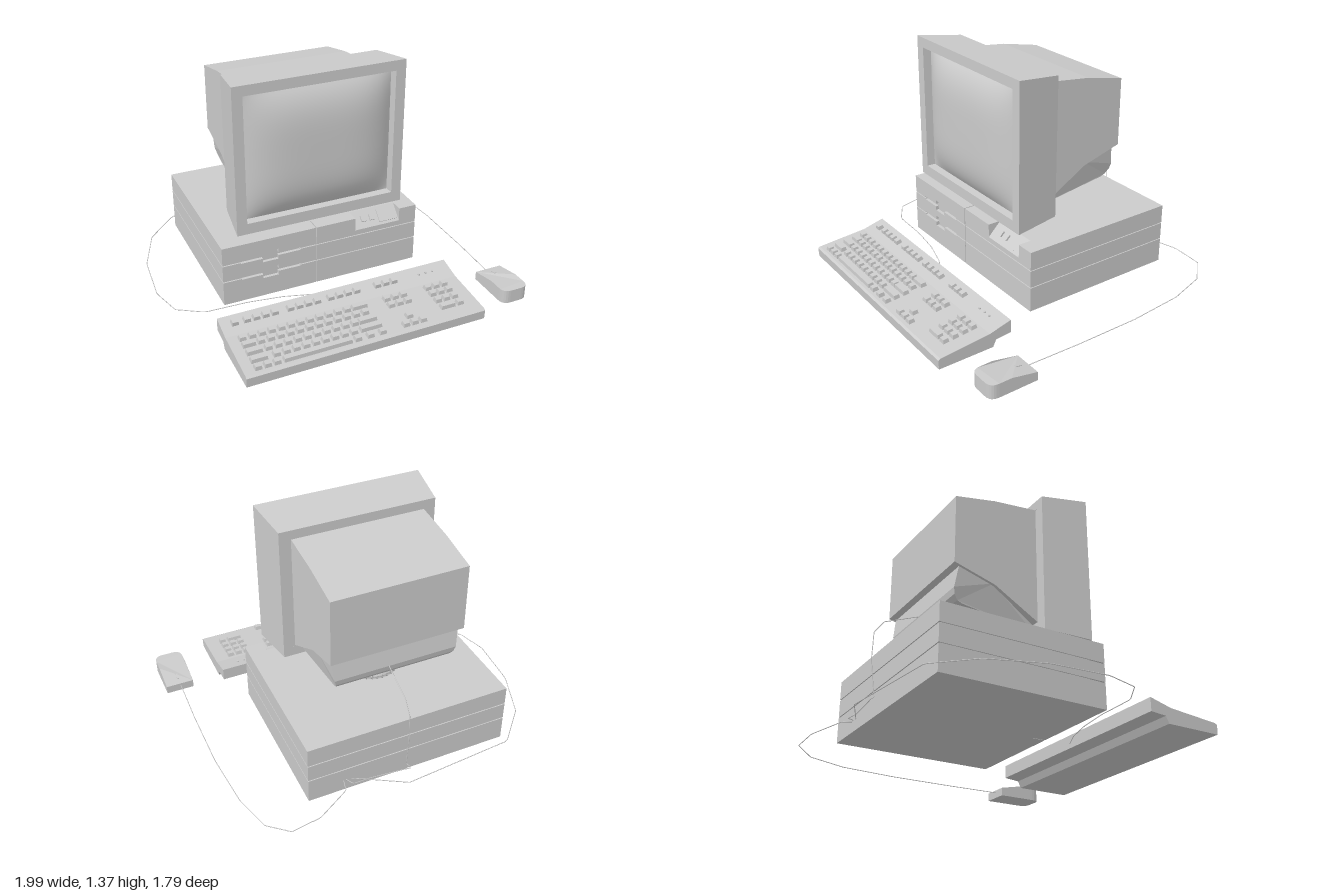
import * as THREE from 'three';
import { mergeGeometries } from 'three/addons/utils/BufferGeometryUtils.js';

const grey = new THREE.MeshStandardMaterial({ color: 0xcccccc, side: THREE.DoubleSide });

function add(parent, name, geometry) {
  const mesh = new THREE.Mesh(geometry, grey);
  mesh.name = name;
  parent.add(mesh);
  return mesh;
}

// Box given by its limits
function block(x0, x1, y0, y1, z0, z1) {
  return new THREE.BoxGeometry(x1 - x0, y1 - y0, z1 - z0)
    .translate((x0 + x1) / 2, (y0 + y1) / 2, (z0 + z1) / 2);
}

const polygon = (pts) => new THREE.Shape(pts.map(([x, y]) => new THREE.Vector2(x, y)));

// Side profile of [z, y] points, extruded from x0 to x1
function prism(profile, x0, x1) {
  return new THREE.ExtrudeGeometry(polygon(profile.map(([z, y]) => [-z, y])), { depth: x1 - x0, bevelEnabled: false })
    .rotateY(Math.PI / 2).translate(x0, 0, 0);
}

// Move every vertex by a rule
function reshape(geometry, rule) {
  const p = geometry.attributes.position, v = new THREE.Vector3();
  for (let i = 0; i < p.count; i++) {
    rule(v.fromBufferAttribute(p, i));
    p.setXYZ(i, v.x, v.y, v.z);
  }
  geometry.computeVertexNormals();
  return geometry;
}

function group(parent, name) {
  const g = new THREE.Group();
  g.name = name;
  parent.add(g);
  return g;
}

// Left fascia panel with drive slots cut into its top and/or bottom edge
function slotPanel(y0, y1, top, bottom) {
  const slot = (y, d) => [[-0.56, y], [-0.56, y + d * 0.006], [-0.43, y + d * 0.006], [-0.43, y + d * 0.03],
    [-0.335, y + d * 0.03], [-0.335, y + d * 0.006], [-0.2, y + d * 0.006], [-0.2, y]];
  const pts = [[-0.67, y0], ...(bottom ? slot(y0, 1) : []), [-0.103, y0],
    [-0.103, y1], ...(top ? slot(y1, -1).reverse() : []), [-0.67, y1]];
  return new THREE.ExtrudeGeometry(polygon(pts), { depth: 0.08, bevelEnabled: false }).translate(0, 0, 0.165);
}

function buildCase(root) {
  const g = group(root, 'systemUnit');
  add(g, 'caseCore', block(-0.664, 0.544, 0.07, 0.42, -0.72, 0.15));
  add(g, 'slotBacking', block(-0.66, -0.08, 0.07, 0.42, 0.1, 0.226));
  add(g, 'lowerBacking', block(-0.1, 0.544, 0.07, 0.33, 0.1, 0.238));
  [[0.06, 0.207], [0.213, 0.314], [0.32, 0.43]].forEach(([y0, y1], i) => {
    add(g, 'caseLayer', block(-0.67, 0.55, y0, y1, -0.73, 0.165));
    add(g, 'leftFascia', slotPanel(y0, y1, i < 2, i > 0));
    add(g, 'rightFascia', block(-0.097, i < 2 ? 0.55 : 0.15, y0, y1, 0.165, 0.245));
  });
  // Sloping control recess in the top layer
  add(g, 'cornerFascia', block(0.44, 0.55, 0.32, 0.43, 0.165, 0.245));
  add(g, 'controlSlope', prism([[0.165, 0.32], [0.245, 0.32], [0.245, 0.35], [0.165, 0.43]], 0.15, 0.44));
  const tilted = (name, x, w, h, d) => {
    const m = add(g, name, new THREE.BoxGeometry(w, h, d));
    m.position.set(x, 0.39, 0.205);
    m.rotation.x = -Math.PI / 4;
  };
  tilted('controlPlate', 0.375, 0.12, 0.08, 0.014);
  for (const x of [0.22, 0.275]) tilted('controlButton', x, 0.032, 0.035, 0.022);
}

function buildMonitor(root) {
  const g = group(root, 'monitor');
  const cx = -0.0675;
  // Bezel, tapering to the back
  const frame = polygon([[-0.5075, -0.44], [0.5075, -0.44], [0.5075, 0.44], [-0.5075, 0.44]]);
  frame.holes.push(polygon([[-0.447, -0.375], [-0.447, 0.38], [0.447, 0.38], [0.447, -0.375]]));
  const bezel = new THREE.ExtrudeGeometry(frame, { depth: 0.28, bevelEnabled: false });
  reshape(bezel, (v) => {
    const t = 1 - v.z / 0.28;
    v.x *= 1 - 0.074 * t;
    v.y = v.y * (1 - 0.057 * t) - 0.01 * t;
  });
  add(g, 'bezel', bezel.translate(cx, 0.93, -0.035));
  add(g, 'bezelBack', block(cx - 0.465, cx + 0.465, 0.51, 1.33, -0.034, -0.01));

  // Domed screen
  const screen = reshape(new THREE.PlaneGeometry(0.89, 0.755, 24, 24), (v) => {
    const u = (v.x / 0.445) ** 4, w = (v.y / 0.3775) ** 4;
    v.z = 0.27 - 0.075 * (u + w - u * w);
  });
  add(g, 'screen', screen.translate(cx, 0.9325, 0));

  add(g, 'rearHousing', prism([[-0.03, 0.57], [-0.3, 0.725], [-0.547, 0.795], [-0.547, 1.2],
    [-0.3, 1.25], [-0.03, 1.28]], cx - 0.4, cx + 0.4));
  // Lower housing, narrower at the bottom
  const lower = prism([[-0.03, 0.53], [-0.47, 0.59], [-0.5, 0.602], [-0.522, 0.63], [-0.53, 0.665],
    [-0.51, 0.8], [-0.3, 0.74], [-0.03, 0.6]], -0.385, 0.385);
  reshape(lower, (v) => { v.x *= 1 - 0.09 * THREE.MathUtils.clamp((0.72 - v.y) / 0.12, 0, 1); });
  add(g, 'lowerHousing', lower.translate(cx, 0, 0));

  // Swivel stand
  const profile = [[0, 0.43], [0.162, 0.43], [0.15, 0.445], [0.142, 0.465], [0.137, 0.49], [0.136, 0.58]]
    .map(([r, y]) => new THREE.Vector2(r, y));
  add(g, 'swivelStand', new THREE.LatheGeometry(profile, 32).translate(-0.075, 0, -0.195));
}

function buildKeyboard(root) {
  const g = group(root, 'keyboard');
  add(g, 'keyboardBody', prism([[0.895, 0.01], [0.898, 0.065], [0.885, 0.073], [0.58, 0.1], [0.445, 0.135],
    [0.445, 0.058], [0.54, 0.05], [0.56, 0.01]], -0.78, 0.645));
  const surface = (z) => (z > 0.58 ? 0.1 - (z - 0.58) * 0.0885 : 0.1 + (0.58 - z) * 0.26);
  const keys = [];
  const key = (x, z, w = 0.043) => {
    const k = reshape(new THREE.BoxGeometry(w, 0.03, 0.04), (v) => {
      if (v.y > 0) { v.x -= Math.sign(v.x) * 0.005; v.z *= 0.75; }
    });
    keys.push(k.rotateX(z > 0.58 ? 0.09 : 0.25).translate(x, surface(z) + 0.008, z));
  };
  const run = (x, z, n, pitch = 0.056) => { for (let i = 0; i < n; i++) key(x + i * pitch, z); };
  const wide = (x0, x1, z) => key((x0 + x1) / 2, z, x1 - x0);

  // Back row
  key(-0.7, 0.505);
  for (const x of [-0.63, -0.375, -0.13]) run(x, 0.505, 4, 0.054);
  run(0.165, 0.505, 3, 0.053);
  // Main rows: z, first wide key end, start and count of small keys, last wide key start
  const rows = [
    [0.62, null, -0.7, 12, -0.055], [0.675, -0.645, -0.615, 12, null],
    [0.735, -0.63, -0.597, 10, -0.07], [0.795, -0.625, -0.575, 9, -0.09],
  ];
  for (const [z, first, start, n, last] of rows) {
    if (first !== null) wide(-0.722, first, z);
    run(start, z, n);
    if (last !== null) wide(last, 0.04, z);
  }
  run(-0.7, 0.85, 3, 0.053);
  wide(-0.56, -0.165, 0.85);
  run(-0.13, 0.85, 3, 0.074);
  // Navigation keys, arrows and number pad
  for (const z of [0.62, 0.675, 0.845]) run(0.165, z, 3, 0.053);
  key(0.215, 0.79);
  for (const z of [0.62, 0.675, 0.735]) run(0.432, z, 3, 0.053);
  wide(0.412, 0.505, 0.795);
  key(0.538, 0.795);
  add(g, 'keys', mergeGeometries(keys));
  for (const x of [0.44, 0.485, 0.53]) {
    add(g, 'statusLight', new THREE.CylinderGeometry(0.007, 0.007, 0.01, 8).translate(x, surface(0.505) + 0.002, 0.505));
  }
}

function buildMouse(root) {
  const g = group(root, 'mouse');
  // Plan outline with rounded palm end, top sloping down to the cable end
  const s = new THREE.Shape();
  s.moveTo(-0.085, -0.53);
  s.lineTo(-0.085, -0.69);
  s.lineTo(-0.085, -0.765);
  s.quadraticCurveTo(-0.085, -0.818, -0.035, -0.818);
  s.lineTo(0.035, -0.818);
  s.quadraticCurveTo(0.085, -0.818, 0.085, -0.765);
  s.lineTo(0.085, -0.69);
  s.lineTo(0.085, -0.53);
  const topY = (z) => 0.05 + Math.min(1, (z - 0.53) / 0.16) * 0.033;
  const body = new THREE.ExtrudeGeometry(s, { depth: 0.05, bevelEnabled: false, curveSegments: 6 }).rotateX(-Math.PI / 2);
  reshape(body, (v) => { v.y = v.y > 0.01 ? topY(v.z) : 0; });
  add(g, 'mouseBody', body.translate(0.91, 0, 0));
  const button = add(g, 'mouseButton', new THREE.BoxGeometry(0.014, 0.012, 0.038));
  button.position.set(0.91, 0.0605, 0.592);
  button.rotation.x = -0.2;
}

function buildCables(root) {
  const g = group(root, 'cables');
  const cable = (name, pts) => {
    const path = new THREE.CurvePath();
    const v = pts.map((p) => new THREE.Vector3(...p));
    for (let i = 1; i < v.length; i++) path.add(new THREE.LineCurve3(v[i - 1], v[i]));
    add(g, name, new THREE.TubeGeometry(path, 120, 0.0025, 5));
  };
  cable('mouseCable', [[0.905, 0.035, 0.54], [0.915, 0.035, 0.2], [0.915, 0.035, -0.2], [0.885, 0.035, -0.55],
    [0.825, 0.045, -0.78], [0.715, 0.065, -0.895], [0.545, 0.085, -0.885], [0.355, 0.115, -0.79], [0.34, 0.125, -0.725]]);
  cable('keyboardCable', [[-0.05, 0.085, 0.45], [-0.18, 0.085, 0.385], [-0.35, 0.085, 0.335], [-0.55, 0.085, 0.305],
    [-0.8, 0.085, 0.295], [-0.945, 0.085, 0.205], [-0.997, 0.085, 0.015], [-0.97, 0.085, -0.31], [-0.86, 0.085, -0.6],
    [-0.67, 0.085, -0.8], [0, 0.09, -0.86], [0.3, 0.125, -0.725]]);
  cable('monitorCable', [[-0.02, 0.67, -0.52], [-0.02, 0.585, -0.73], [-0.02, 0.51, -0.785], [-0.02, 0.35, -0.79],
    [-0.025, 0.14, -0.765], [-0.045, 0.12, -0.79], [0.04, 0.12, -0.78], [0.2, 0.12, -0.765], [0.3, 0.125, -0.77],
    [0.33, 0.13, -0.725]]);
}

export function createModel() {
  const root = new THREE.Group();
  root.name = 'desktopComputer';
  buildCase(root);
  buildMonitor(root);
  buildKeyboard(root);
  buildMouse(root);
  buildCables(root);
  return root;
}
